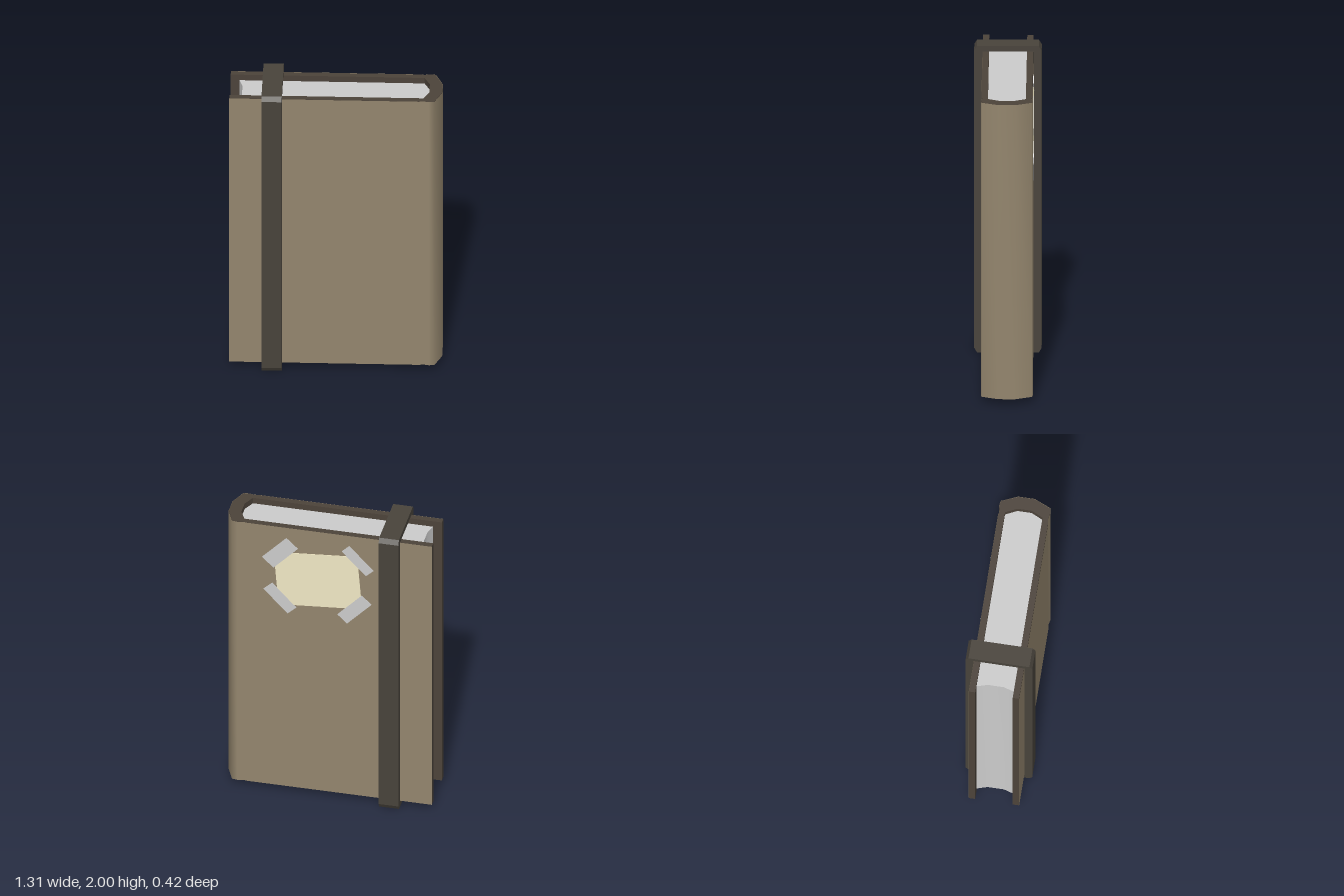
import * as THREE from 'three';
import { toCreasedNormals } from 'three/addons/utils/BufferGeometryUtils.js';

const material = (color, extra = {}) => new THREE.MeshStandardMaterial({ color, ...extra });
const polygon = (pts) => pts.map(([a, b]) => new THREE.Vector2(a, b));

// Follow half a profile, then return along its mirror image.
const mirrored = (half) => [...half, ...half.map(([x, z]) => [x, -z]).reverse()];

// Upright prism from an (x, z) outline between two heights.
function prism(outline, y0, y1, crease) {
  const g = new THREE.ExtrudeGeometry(new THREE.Shape(polygon(outline)), { depth: y1 - y0, bevelEnabled: false });
  g.rotateX(-Math.PI / 2).translate(0, y0, 0);
  return toCreasedNormals(g, crease);
}

// Smooth upright skin along an open (x, z) path.
function skin(path, y0, y1) {
  const pos = [], idx = [];
  path.forEach(([x, z], i) => {
    pos.push(x, y0, z, x, y1, z);
    if (i) {
      const a = 2 * i - 2;
      idx.push(a, a + 2, a + 1, a + 1, a + 2, a + 3);
    }
  });
  const g = new THREE.BufferGeometry();
  g.setAttribute('position', new THREE.Float32BufferAttribute(pos, 3));
  g.setIndex(idx);
  g.computeVertexNormals();
  return g;
}

// Rectangle with cut corners in the (z, y) plane.
const cutRect = (w, y0, y1, cz, cy) => polygon([
  [-w, y0 + cy], [-w + cz, y0], [w - cz, y0], [w, y0 + cy],
  [w, y1 - cy], [w - cz, y1], [-w + cz, y1], [-w, y1 - cy],
]);

export function createModel() {
  const book = new THREE.Group();
  book.name = 'book';
  const add = (name, geometry, mat) => {
    const mesh = new THREE.Mesh(geometry, mat);
    mesh.name = name;
    book.add(mesh);
    return mesh;
  };

  const brown = material(0x93856d, { side: THREE.DoubleSide });
  const dark = material(0x4c433a);
  const strapDark = material(0x48433b);
  const grey = material(0xcccccc);
  const cream = material(0xf0e8c4);
  const bottom = 0.04, top = 1.96;

  // Wrap-around cover: two boards joined by a rounded spine
  const outer = mirrored([[-0.655, 0.156], [0.515, 0.156], [0.54, 0.151], [0.575, 0.159], [0.608, 0.154], [0.653, 0.05]]);
  const inner = mirrored([[-0.655, 0.117], [0.54, 0.117], [0.575, 0.045]]);
  add('coverBoards', prism([...outer, ...inner.reverse()], bottom, top, 0.6), dark);

  // Coloured outside of the cover
  const shell = outer.map(([x, z]) => [x > 0.6 ? x + 0.0015 : x, z + Math.sign(z) * 0.0015]);
  add('coverSkin', skin(shell, bottom, top), brown);

  // Page block with a hollow fore-edge and rounded back
  const pages = mirrored([[-0.6, 0.117], [-0.58, 0.05]]).reverse();
  const back = mirrored([[0.54, 0.117], [0.575, 0.045]]);
  add('pages', prism([...pages.slice(0, 2), ...pages.slice(2), ...back].map((p) => p), bottom + 0.04, top - 0.04, 0.6), grey);

  // Closing strap running round the whole book
  const loop = new THREE.Shape(cutRect(0.208, 0, 2, 0.018, 0.03));
  loop.holes.push(new THREE.Path(cutRect(0.158, 0.036, 1.964, 0.001, 0.001).reverse()));
  const strap = new THREE.ExtrudeGeometry(loop, { depth: 0.125, bevelEnabled: false });
  strap.rotateY(Math.PI / 2).translate(-0.455, 0, 0);
  add('strap', strap, strapDark);

  // Paper label on the back, slightly askew
  const label = add('label', new THREE.BoxGeometry(0.53, 0.385, 0.004), cream);
  label.position.set(0.065, 1.6, -0.1585);
  label.rotation.z = -0.08;

  // Tape strips across the label corners: x, y, width, tilt
  [
    [0.305, 1.77, 0.1, -1],
    [-0.186, 1.783, 0.065, 1],
    [0.305, 1.434, 0.075, 1],
    [-0.166, 1.42, 0.085, -1],
  ].forEach(([x, y, width, tilt], i) => {
    const tape = add('tape' + (i + 1), new THREE.BoxGeometry(0.222, width, 0.005), grey);
    tape.position.set(x, y, -0.16);
    tape.rotation.z = tilt * 0.81;
  });

  return book;
}
